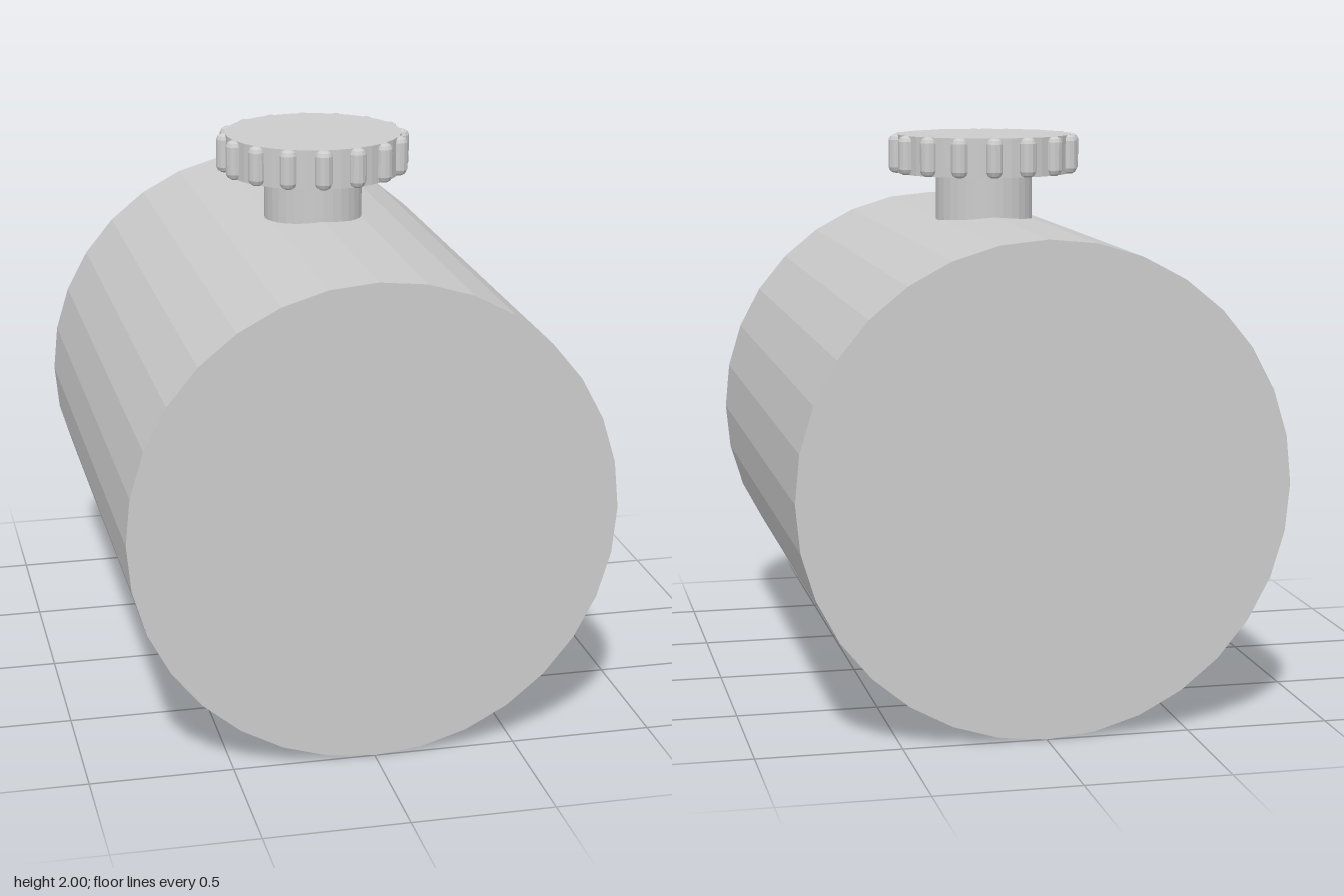
import * as THREE from 'three';

const BODY_R = 0.854, BODY_LENGTH = 2;
const KNOB_BOTTOM = 1.86, KNOB_TOP = 2, KNOB_R = 0.32;
const RIDGES = 16, RIDGE_R = 0.031, RIDGE_PHASE = THREE.MathUtils.degToRad(5.6);

export function createModel() {
  const model = new THREE.Group();
  model.name = 'drumWithKnob';
  const material = new THREE.MeshStandardMaterial({ color: 0xcccccc, flatShading: true });

  const add = (parent, name, geometry, x, y, z) => {
    const mesh = new THREE.Mesh(geometry, material);
    mesh.name = name;
    mesh.position.set(x, y, z);
    parent.add(mesh);
    return mesh;
  };

  // Faceted drum lying along z
  const body = new THREE.CylinderGeometry(BODY_R, BODY_R, BODY_LENGTH, 32).rotateX(Math.PI / 2);
  add(model, 'body', body, 0, BODY_R, 0);

  // Stem, sunk a little into the drum
  const stemBottom = 1.62;
  const stemHeight = KNOB_BOTTOM - stemBottom + 0.01;
  add(model, 'stem', new THREE.CylinderGeometry(0.178, 0.178, stemHeight, 32), 0, stemBottom + stemHeight / 2, 0);

  // Knob: flat disc with rounded grip ridges around the rim
  const knob = new THREE.Group();
  knob.name = 'knob';
  knob.rotation.y = -RIDGE_PHASE;
  model.add(knob);

  const height = KNOB_TOP - KNOB_BOTTOM;
  const middle = (KNOB_TOP + KNOB_BOTTOM) / 2;
  add(knob, 'knobDisc', new THREE.CylinderGeometry(KNOB_R, KNOB_R, height, 32), 0, middle, 0);

  // Ridge profile with softened ends
  const half = height / 2;
  const end = [[0, 0], [0.013, 0], [0.025, 0.007], [RIDGE_R, 0.02]];
  const profile = [
    ...end.map(([r, d]) => new THREE.Vector2(r, d - half)),
    ...end.map(([r, d]) => new THREE.Vector2(r, half - d)).reverse(),
  ];
  const ridge = new THREE.LatheGeometry(profile, 12);
  for (let i = 0; i < RIDGES; i++) {
    const a = (i / RIDGES) * Math.PI * 2;
    add(knob, 'gripRidge', ridge, Math.cos(a) * KNOB_R, middle, Math.sin(a) * KNOB_R);
  }

  return model;
}
